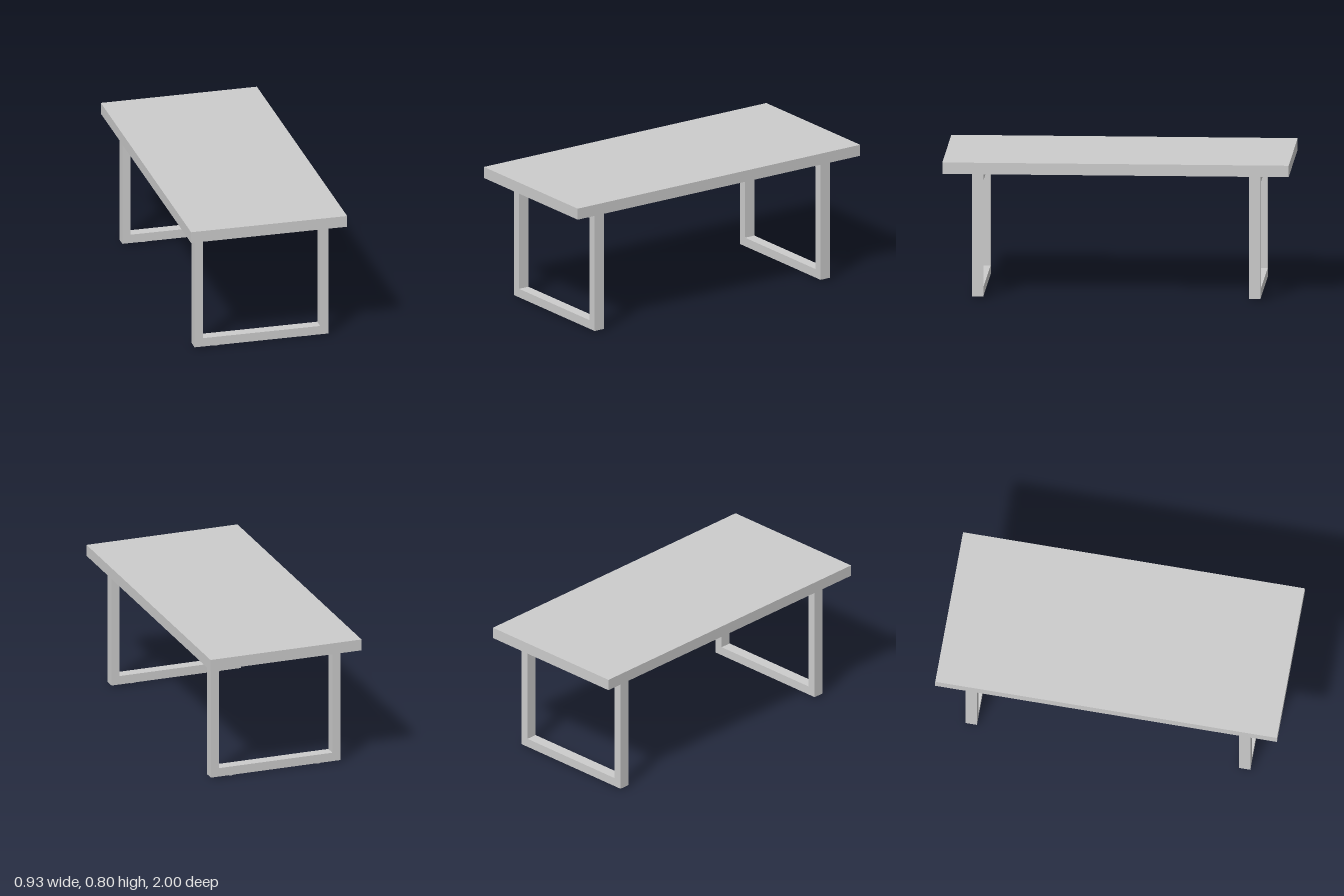
import * as THREE from 'three';

const material = new THREE.MeshStandardMaterial({ color: 0xcccccc });

function add(parent, name, geometry, x, y, z) {
  const mesh = new THREE.Mesh(geometry, material);
  mesh.name = name;
  mesh.position.set(x, y, z);
  parent.add(mesh);
  return mesh;
}

// Rectangular outline, used for the leg frame and its opening
function rectangle(path, halfWidth, bottom, top) {
  path.moveTo(-halfWidth, bottom);
  path.lineTo(halfWidth, bottom);
  path.lineTo(halfWidth, top);
  path.lineTo(-halfWidth, top);
  path.closePath();
  return path;
}

export function createModel() {
  const table = new THREE.Group();
  table.name = 'table';

  // Thick slab top
  const topHeight = 0.067;
  add(table, 'tableTop', new THREE.BoxGeometry(0.932, topHeight, 2), 0, 0.735 + topHeight / 2, 0);

  // Closed rectangular leg frame, extruded through its depth
  const depth = 0.066;
  const outline = rectangle(new THREE.Shape(), 0.4, 0.008, 0.735);
  outline.holes.push(rectangle(new THREE.Path(), 0.35, 0.06, 0.683));
  const frameGeometry = new THREE.ExtrudeGeometry(outline, { depth, bevelEnabled: false });
  frameGeometry.translate(0, 0, -depth / 2);

  // Small round glides under the frame
  const footGeometry = new THREE.CylinderGeometry(0.02, 0.02, 0.008, 24);

  for (const end of [1, -1]) {
    const leg = new THREE.Group();
    leg.name = end > 0 ? 'frontLeg' : 'backLeg';
    leg.position.z = end * 0.8;
    add(leg, 'legFrame', frameGeometry, 0, 0, 0);
    for (const side of [1, -1]) {
      add(leg, side > 0 ? 'leftFoot' : 'rightFoot', footGeometry, side * 0.267, 0.004, 0);
    }
    table.add(leg);
  }
  return table;
}
